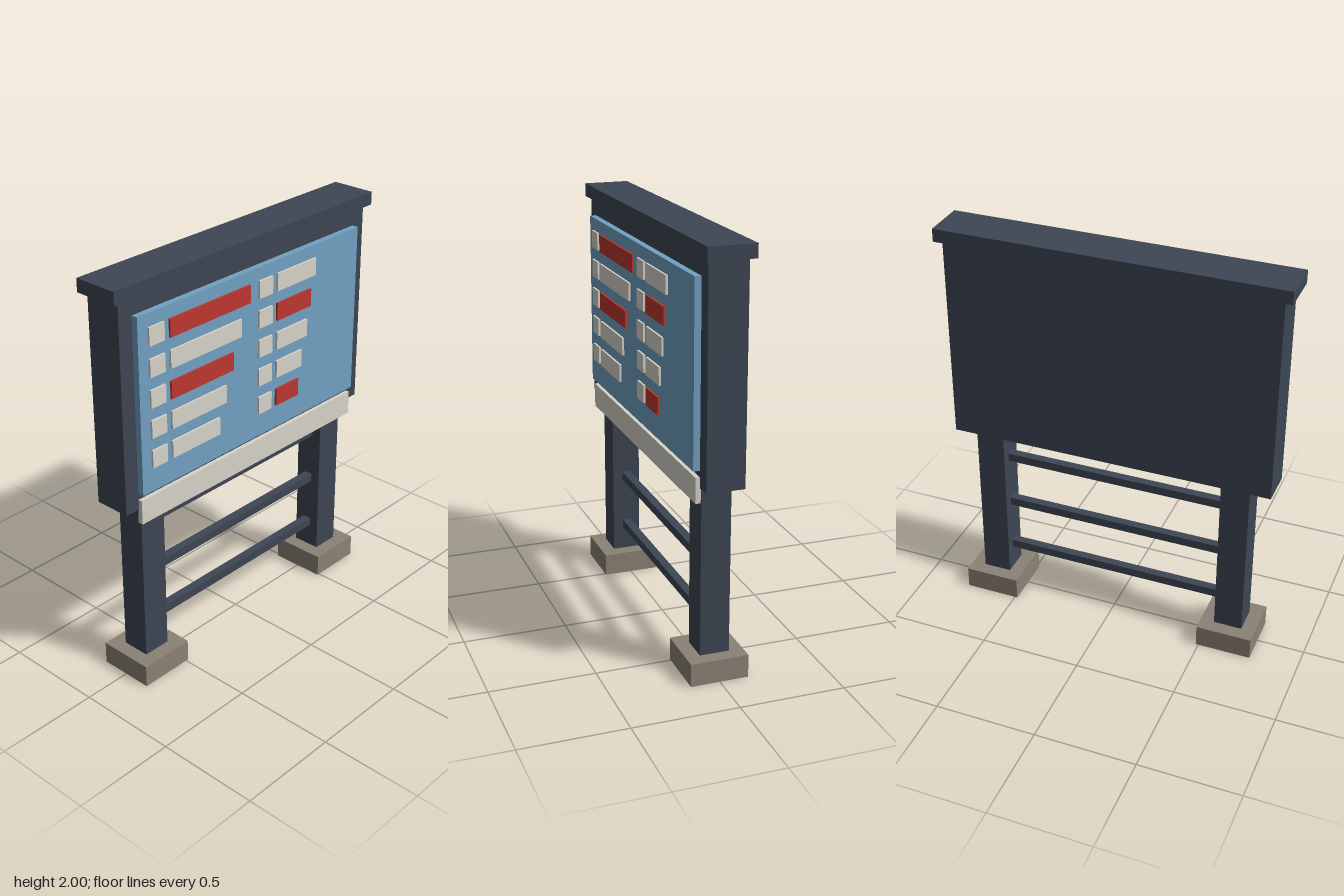
import * as THREE from 'three';

const paint = (color) => new THREE.MeshStandardMaterial({ color });

export function createModel() {
  const model = new THREE.Group();
  const steel = paint(0x3d4653);
  const blue = paint(0x72a1c2);
  const cream = paint(0xd8d4ca);
  const red = paint(0xbd372f);
  const concrete = paint(0x8c8276);

  // Box given by its extents along each axis
  function box(name, material, [x0, x1], [y0, y1], [z0, z1]) {
    const mesh = new THREE.Mesh(new THREE.BoxGeometry(x1 - x0, y1 - y0, z1 - z0), material);
    mesh.position.set((x0 + x1) / 2, (y0 + y1) / 2, (z0 + z1) / 2);
    mesh.name = name;
    model.add(mesh);
  }

  // Cabinet with its cap, display panel and lower sign strip
  box('cabinet', steel, [-0.8, 0.8], [0.93, 1.94], [-0.09, 0.09]);
  box('cap', steel, [-0.837, 0.837], [1.937, 2], [-0.11, 0.11]);
  box('displayPanel', blue, [-0.725, 0.725], [1.01, 1.857], [0.085, 0.121]);
  box('lowerStrip', cream, [-0.725, 0.725], [0.86, 0.98], [0.085, 0.11]);

  // Legs on footings
  for (const [side, s] of [['left', 1], ['right', -1]]) {
    const cx = s * 0.625;
    box(side + 'Leg', steel, [cx - 0.07, cx + 0.07], [0.02, 0.94], [-0.07, 0.07]);
    box(side + 'Footing', concrete, [cx - 0.138, cx + 0.138], [0, 0.11], [-0.138, 0.138]);
  }

  // Cross rails between the legs
  for (const y of [0.25, 0.517, 0.784]) {
    box('crossRail', steel, [-0.56, 0.56], [y - 0.021, y + 0.021], [-0.021, 0.021]);
  }

  // Two columns of rows: a square tile and a bar of its own length
  const columns = [
    { tile: -0.668, bar: -0.545, widths: [0.503, 0.446, 0.393, 0.346, 0.301], reds: [0, 2] },
    { tile: 0.018, bar: 0.141, widths: [0.267, 0.237, 0.214, 0.178, 0.158], reds: [1, 4] },
  ];
  for (const { tile, bar, widths, reds } of columns) {
    widths.forEach((width, i) => {
      const y = 1.752 - i * 0.145;
      const rowY = [y - 0.043, y + 0.043];
      box('rowTile', cream, [tile, tile + 0.09], rowY, [0.115, 0.131]);
      box('rowBar', reds.includes(i) ? red : cream, [bar, bar + width], rowY, [0.115, 0.131]);
    });
  }

  return model;
}
